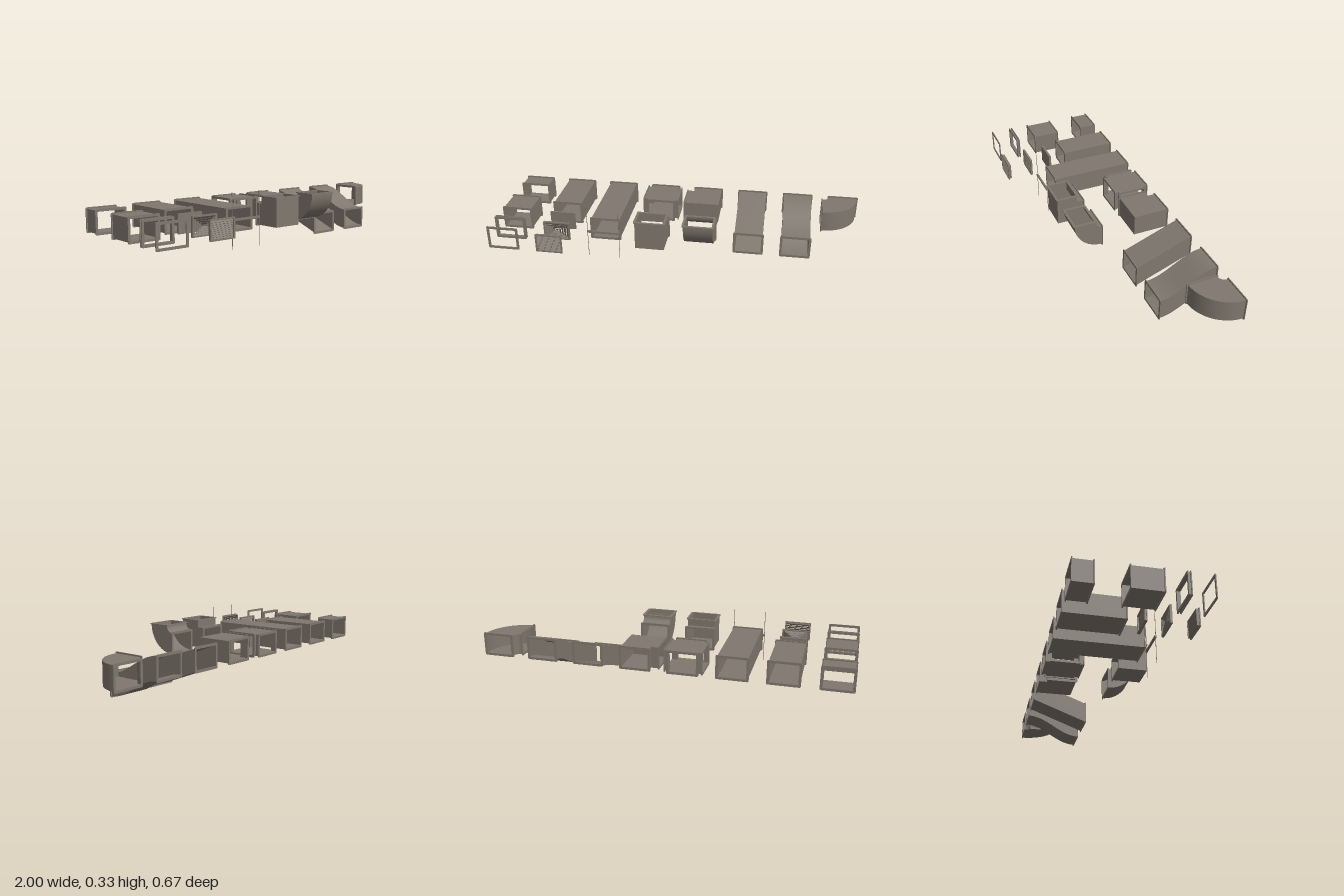
import * as THREE from 'three';
import { toCreasedNormals } from 'three/addons/utils/BufferGeometryUtils.js';

const W = 0.158, H = 0.116, WALL = 0.006;   // duct section
const FW = 0.172, FH = 0.13, FT = 0.005;    // flange
const Y = 0.185, BACK = -0.335;             // duct axis height, rear row
const V = (x, y, z) => new THREE.Vector3(x, y, z);
const X = V(1, 0, 0), UP = V(0, 1, 0);

export function createModel() {
  const metal = new THREE.MeshStandardMaterial({ color: 0x80786f });
  const model = new THREE.Group();

  function add(parent, geo, name, x = 0, y = 0, z = 0) {
    const m = new THREE.Mesh(geo, metal);
    m.name = name;
    m.position.set(x, y, z);
    parent.add(m);
    return m;
  }
  function group(name) {
    const g = new THREE.Group();
    g.name = name;
    model.add(g);
    return g;
  }

  // Rectangular frame with rounded outer corners, centred on its depth
  function ringGeo(w, h, iw, ih, depth, r = 0.008) {
    const a = w / 2, b = h / 2, s = new THREE.Shape();
    s.moveTo(-a + r, -b);
    s.lineTo(a - r, -b); s.quadraticCurveTo(a, -b, a, -b + r);
    s.lineTo(a, b - r); s.quadraticCurveTo(a, b, a - r, b);
    s.lineTo(-a + r, b); s.quadraticCurveTo(-a, b, -a, b - r);
    s.lineTo(-a, -b + r); s.quadraticCurveTo(-a, -b, -a + r, -b);
    const c = iw / 2, d = ih / 2;
    s.holes.push(new THREE.Path([[-c, -d], [-c, d], [c, d], [c, -d]].map(p => new THREE.Vector2(...p))));
    return new THREE.ExtrudeGeometry(s, { depth, bevelEnabled: false, curveSegments: 4 }).translate(0, 0, -depth / 2);
  }
  const flangeGeo = ringGeo(FW, FH, W - 2 * WALL, H - 2 * WALL, FT);
  function flange(g, x, y, z, axis = 'z') {
    const m = add(g, flangeGeo, 'flange', x, y, z);
    if (axis === 'x') m.rotation.y = Math.PI / 2;
    if (axis === 'y') m.rotation.x = Math.PI / 2;
  }

  // Hollow duct through frames { c: centre, u: width direction, v: height direction }
  function sweep(frames) {
    const loop = (f, w, h) => [[-1, -1], [1, -1], [1, 1], [-1, 1]].map(([i, j]) =>
      f.c.clone().addScaledVector(f.u, i * w / 2).addScaledVector(f.v, j * h / 2));
    const out = frames.map(f => loop(f, W, H));
    const inn = frames.map(f => loop(f, W - 2 * WALL, H - 2 * WALL));
    const pos = [];
    const quad = (a, b, c, d) => [a, b, c, a, c, d].forEach(p => pos.push(p.x, p.y, p.z));
    const e = frames.length - 1;
    for (let k = 0; k < 4; k++) {
      const n = (k + 1) % 4;
      for (let i = 0; i < e; i++) {
        quad(out[i][k], out[i][n], out[i + 1][n], out[i + 1][k]);
        quad(inn[i][n], inn[i][k], inn[i + 1][k], inn[i + 1][n]);
      }
      quad(out[e][k], out[e][n], inn[e][n], inn[e][k]);
      quad(out[0][n], out[0][k], inn[0][k], inn[0][n]);
    }
    const geo = new THREE.BufferGeometry();
    geo.setAttribute('position', new THREE.Float32BufferAttribute(pos, 3));
    return toCreasedNormals(geo, 0.6);
  }

  // Ducts along z; drop(t) gives the fall of the axis
  function run(name, x, z0, z1, drop = () => 0, steps = 1) {
    const g = group(name), frames = [];
    for (let i = 0; i <= steps; i++) {
      const t = i / steps;
      frames.push({ c: V(x, Y - drop(t), z0 + (z1 - z0) * t), u: X, v: UP });
    }
    add(g, sweep(frames), 'ductWalls');
    flange(g, x, Y, z0);
    flange(g, x, Y - drop(1), z1);
  }
  run('shortDuct', -0.915, BACK, -0.237);
  run('mediumShortDuct', -0.915, -0.075, 0.078);
  run('couplingCollar', -0.915, 0.185, 0.199);
  run('mediumDuct', -0.653, BACK, -0.027);
  run('longDuct', -0.393, BACK, 0.13);
  run('slopedDuct', 0.387, BACK, -0.027, t => 0.117 * t);
  run('offsetDuct', 0.65, BACK, -0.027, t => 0.117 * (1 - Math.cos(Math.PI * t)) / 2, 24);
  add(model, flangeGeo, 'looseFlange', -0.915, Y, 0.314);

  // Bends: rounded sweep or mitred corner, from facing -z to facing -x or up
  const angles = n => Array.from({ length: n + 1 }, (_, i) => i / n * Math.PI / 2);
  function bend(name, mitred, vertical, px, pz) {
    const g = group(name);
    const R = 0.04 + (vertical ? H : W) / 2, py = Y + R;
    const frames = angles(mitred ? 2 : 20).map((a, i) => {
      const k = mitred && i === 1 ? Math.SQRT2 : 1;
      const c = Math.cos(a) * k, s = Math.sin(a) * k;
      return vertical
        ? { c: V(px, py - R * c, pz + R * s), u: X, v: V(0, c, -s) }
        : { c: V(px + R * c, Y, pz + R * s), u: V(c, 0, s), v: UP };
    });
    add(g, sweep(frames), 'bendWalls');
    if (vertical) {
      flange(g, px, Y, pz);
      flange(g, px, py, pz + R, 'y');
    } else {
      flange(g, px + R, Y, pz);
      flange(g, px, Y, pz + R, 'x');
    }
  }
  bend('roundElbow', false, false, 0.789, BACK);
  bend('squareElbow', true, false, 0.005, BACK);
  bend('squareUpturn', true, true, -0.133, 0.056);
  bend('roundUpturn', false, true, 0.128, 0.056);

  // Four-way junction: plus-shaped plates and corner walls
  const cross = group('crossJunction'), cx = -0.133, cz = -0.235, a = W / 2, e = 0.1;
  const extrudeUp = (pts, h) => new THREE.ExtrudeGeometry(
    new THREE.Shape(pts.map(p => new THREE.Vector2(...p))), { depth: h, bevelEnabled: false }).rotateX(-Math.PI / 2);
  const plus = extrudeUp([[-a, -e], [a, -e], [a, -a], [e, -a], [e, a], [a, a], [a, e], [-a, e], [-a, a], [-e, a], [-e, -a], [-a, -a]], WALL);
  add(cross, plus, 'floorPlate', cx, Y - H / 2, cz);
  add(cross, plus, 'roofPlate', cx, Y + H / 2 - WALL, cz);
  const b = a - WALL;
  const corner = extrudeUp([[a, e], [b, e], [b, b], [e, b], [e, a], [a, a]], H - 2 * WALL);
  for (let i = 0; i < 4; i++) {
    add(cross, corner, 'cornerWall', cx, Y - H / 2 + WALL, cz).rotation.y = i * Math.PI / 2;
  }
  for (const s of [-1, 1]) {
    flange(cross, cx, Y, cz + s * e);
    flange(cross, cx + s * e, Y, cz, 'x');
  }

  // End cap
  const cap = group('endCap');
  add(cap, new THREE.BoxGeometry(0.142, 0.102, 0.006), 'capPlate', -0.653, Y, 0.071);
  add(cap, ringGeo(0.138, 0.098, 0.128, 0.088, 0.008, 0.002), 'capLip', -0.653, Y, 0.064);

  // Four-way diffuser: nested sloping rings
  const diffuser = group('diffuser');
  add(diffuser, ringGeo(0.146, 0.104, 0.134, 0.092, 0.012, 0.002), 'diffuserFrame', -0.653, Y, 0.19);
  const slope = (w, h, d) => {
    const geo = ringGeo(w, h, w - 0.004, h - 0.004, d, 0.001), p = geo.attributes.position;
    for (let i = 0; i < p.count; i++) {
      if (p.getZ(i) < 0) p.setXY(i, p.getX(i) * (w - 0.026) / w, p.getY(i) * (h - 0.026) / h);
    }
    geo.computeVertexNormals();
    return geo;
  };
  for (let i = 0; i < 4; i++) {
    add(diffuser, slope(0.134 - i * 0.027, 0.092 - i * 0.02, 0.012), 'diffuserRing', -0.653, Y, 0.19);
  }
  for (const s of [-1, 1]) {
    add(diffuser, new THREE.BoxGeometry(0.158, 0.003, 0.003), 'diffuserBrace', -0.653, Y, 0.186).rotation.z = s * Math.atan2(0.092, 0.134);
  }

  // Louvred grille with slats falling outward
  const grille = group('louvreGrille');
  add(grille, ringGeo(0.146, 0.104, 0.13, 0.088, 0.006, 0.003), 'grilleFrame', -0.653, Y, 0.334);
  add(grille, ringGeo(0.136, 0.094, 0.13, 0.088, 0.014, 0.002), 'grilleCollar', -0.653, Y, 0.325);
  for (let i = 0; i < 9; i++) {
    add(grille, new THREE.BoxGeometry(0.13, 0.0015, 0.016), 'slat', -0.653, Y + (i - 4) * 0.0097, 0.327).rotation.x = 0.7;
  }

  // Hanger: two threaded rods and a cross bar
  const hanger = group('hanger');
  for (const s of [-1, 1]) {
    add(hanger, new THREE.CylinderGeometry(0.0015, 0.0015, 0.288, 8), 'hangerRod', -0.393 + s * 0.087, 0.186, 0.185);
  }
  add(hanger, new THREE.BoxGeometry(0.18, 0.011, 0.01), 'hangerBar', -0.393, 0.192, 0.185);

  return model;
}
